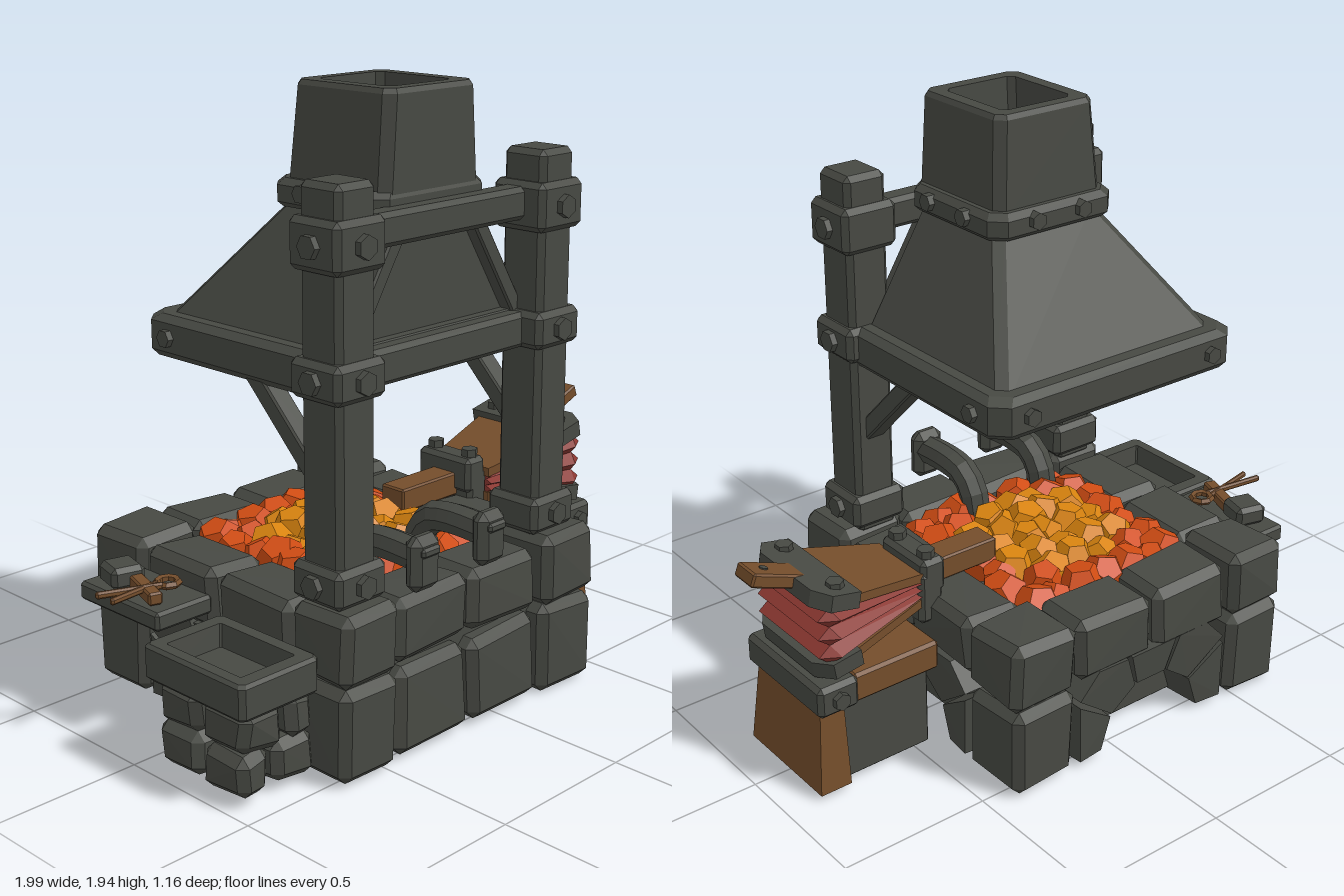
import * as THREE from 'three';
import { ConvexGeometry } from 'three/addons/geometries/ConvexGeometry.js';

const material = (name, color) => Object.assign(new THREE.MeshStandardMaterial({ color }), { name });
const V = (x, y, z) => new THREE.Vector3(x, y, z);

export function createModel() {
  const model = new THREE.Group();
  model.name = 'forge';
  const stone = material('dark stone and iron', 0x474943);
  const wood = material('brown wood', 0x744d2b);
  const leather = material('red leather', 0x8a3731);
  const amber = material('amber coal', 0xd8830f);
  const ember = material('red ember', 0xd04c13);

  let seed = 7;
  const rnd = () => (seed = (seed * 16807) % 2147483647) / 2147483647;

  const add = (name, geo, mat) => {
    const m = new THREE.Mesh(geo, mat);
    m.name = name;
    model.add(m);
    return m;
  };
  const flat = (geo) => {
    const g = geo.index ? geo.toNonIndexed() : geo;
    g.computeVertexNormals();
    return g;
  };
  const hull = (name, mat, pts) => add(name, new ConvexGeometry(pts.map((p) => V(...p))), mat);

  // Chamfered box geometry about the origin; jitter makes rough stones
  const chamfered = (w, h, d, c, jit = 0) => {
    const pts = [];
    for (const sx of [-1, 1]) for (const sy of [-1, 1]) for (const sz of [-1, 1]) {
      const j = [0, 1, 2].map(() => rnd() * jit);
      for (let k = 0; k < 3; k++) {
        pts.push(V(
          sx * (w / 2 - j[0] - (k === 0 ? 0 : c)),
          sy * (h / 2 - j[1] - (k === 1 ? 0 : c)),
          sz * (d / 2 - j[2] - (k === 2 ? 0 : c))));
      }
    }
    return new ConvexGeometry(pts);
  };
  const box = (name, mat, x0, x1, y0, y1, z0, z1, c = 0.015, jit = 0) => {
    const m = add(name, chamfered(x1 - x0, y1 - y0, z1 - z0, c, jit), mat);
    m.position.set((x0 + x1) / 2, (y0 + y1) / 2, (z0 + z1) / 2);
    return m;
  };
  const rock = (name, ...b) => box(name, stone, ...b, 0.028, 0.014);
  // Straight beam between two points
  const beam = (name, mat, a, b, w, d) => {
    const p = V(...a), q = V(...b);
    const m = add(name, chamfered(w, d, p.distanceTo(q), 0.006), mat);
    m.position.copy(p).add(q).multiplyScalar(0.5);
    m.lookAt(q);
    return m;
  };
  const bolt = (x, y, z, axis, r = 0.033) => {
    const m = add('bolt', flat(new THREE.CylinderGeometry(r * 0.85, r * 0.85, 0.04, 6)), stone);
    m.position.set(x, y, z);
    if (axis === 'x') m.rotation.z = Math.PI / 2;
    if (axis === 'z') m.rotation.x = Math.PI / 2;
  };
  // Closed hollow shell lofted through chamfered rectangles [y, x0, x1, z0, z1, chamfer]
  const shell = (name, rings) => {
    const loops = rings.map(([y, x0, x1, z0, z1, c]) => [
      [x1, y, z1 - c], [x1, y, z0 + c], [x1 - c, y, z0], [x0 + c, y, z0],
      [x0, y, z0 + c], [x0, y, z1 - c], [x0 + c, y, z1], [x1 - c, y, z1]]);
    const pos = [];
    loops.forEach((lo, r) => {
      const hi = loops[(r + 1) % loops.length];
      for (let i = 0; i < 8; i++) {
        const j = (i + 1) % 8;
        pos.push(...lo[i], ...lo[j], ...hi[j], ...lo[i], ...hi[j], ...hi[i]);
      }
    });
    const g = new THREE.BufferGeometry();
    g.setAttribute('position', new THREE.Float32BufferAttribute(pos, 3));
    g.computeVertexNormals();
    return add(name, g, stone);
  };

  // Hearth: core, corner stones, front wall and rim
  box('hearthCore', stone, -0.58, 0.31, 0.015, 0.42, -0.43, 0.5);
  const cols = [-0.7, -0.46, -0.145, 0.175, 0.435];
  for (const [y0, y1] of [[0, 0.31], [0.3, 0.535]]) {
    for (let i = 0; i < 4; i++) {
      const mid = i === 1 || i === 2, s = mid ? 0.015 : 0;
      rock('frontStone', cols[i], cols[i + 1], y0 + s / 2, y1 - s, 0.33, 0.58 - s);
      if (!mid) rock('backCornerStone', cols[i], cols[i + 1], y0, y1, -0.58, -0.32);
      else if (y0 > 0) rock('backRimStone', cols[i], cols[i + 1], y0, y1 - s, -0.565, -0.33);
    }
  }
  for (const [z0, z1] of [[-0.33, 0.0], [0.0, 0.34]]) {
    rock('leftRimStone', 0.185, 0.42, 0.31, 0.515, z0, z1);
    rock('rightRimStone', -0.685, -0.45, 0.31, 0.515, z0, z1);
  }
  // Arches of wedge stones on the back and both sides
  const arch = (place) => {
    const n = 5;
    for (let i = 0; i < n; i++) {
      const pts = [];
      for (const a of [i + 0.04, i + 0.5, i + 0.96].map((t) => (t / n) * Math.PI)) {
        const c = Math.cos(a), s = Math.sin(a);
        const out = Math.min(0.32 / Math.max(Math.abs(c), 0.001), 0.33 / Math.max(s, 0.001));
        for (const [r, depth] of [[0.19, 0.2], [0.205, 0.012], [out - 0.02, 0], [out, 0.2]]) {
          pts.push(place(c * r, 0.015 + s * r, depth));
        }
      }
      hull('archStone', stone, pts);
    }
  };
  arch((u, v, d) => [-0.14 + u, v, -0.56 + d]);
  arch((u, v, d) => [0.415 - d, v, u]);
  arch((u, v, d) => [-0.685 + d, v, u]);

  // Coal bed, amber in the middle and red at the rim
  for (let i = 0; i < 7; i++) for (let j = 0; j < 7; j++) {
    const x = -0.42 + i * 0.094 + (rnd() - 0.5) * 0.05;
    const z = -0.3 + j * 0.098 + (rnd() - 0.5) * 0.05;
    const e = Math.hypot((x + 0.14) / 0.29, z / 0.31);
    const m = add('coal', new THREE.DodecahedronGeometry(0.062 + rnd() * 0.022), e < 0.85 ? amber : ember);
    m.position.set(x, 0.5 - 0.04 * e + rnd() * 0.015, z);
    m.rotation.set(rnd() * 3, rnd() * 3, rnd() * 3);
  }

  // Air pipes bending over the front wall into the coals
  for (const x of [-0.35, -0.06]) {
    const path = new THREE.CatmullRomCurve3([
      V(x, 0.62, 0.55), V(x, 0.625, 0.4), V(x, 0.61, 0.32), V(x, 0.55, 0.27), V(x, 0.42, 0.26)]);
    add('airPipe', flat(new THREE.TubeGeometry(path, 10, 0.05, 8)), stone);
    box('pipeCollar', stone, x - 0.058, x + 0.058, 0.52, 0.69, 0.51, 0.575, 0.025);
    box('pipeSlot', stone, x - 0.038, x + 0.038, 0.63, 0.66, 0.565, 0.585, 0.008);
  }

  // Posts with bolted collars and braces
  for (const [x, s] of [[-0.57, -1], [0.28, 1]]) {
    box('post', stone, x - 0.075, x + 0.075, 0.5, 1.73, 0.345, 0.505, 0.018);
    for (const [y0, y1, w] of [[0.53, 0.645, 0.1], [1.125, 1.24, 0.1], [1.485, 1.635, 0.1]]) {
      box('postCollar', stone, x - w, x + w, y0, y1, 0.425 - w, 0.425 + w, 0.018);
      const y = (y0 + y1) / 2;
      bolt(x, y, 0.525, 'z', 0.042);
      bolt(x + s * 0.1, y, 0.425, 'x', 0.042);
    }
    beam('hoodBrace', stone, [x, 0.86, 0.37], [x, 1.15, 0.08], 0.07, 0.06);
    beam('frontDiagonal', stone, [x - s * 0.06, 1.22, 0.39], [-0.145 + s * 0.13, 1.6, 0.39], 0.05, 0.05);
  }
  box('lowerBeam', stone, -0.55, 0.26, 1.125, 1.235, 0.36, 0.455);
  box('upperBeam', stone, -0.55, 0.26, 1.52, 1.62, 0.37, 0.455);

  // Hood, open beneath, with hem, collar and chimney
  shell('hoodHem', [
    [1.11, -0.6, 0.33, -0.37, 0.4, 0.05], [1.13, -0.615, 0.345, -0.385, 0.41, 0.05],
    [1.22, -0.615, 0.345, -0.385, 0.41, 0.05], [1.24, -0.59, 0.32, -0.36, 0.4, 0.05],
    [1.24, -0.53, 0.26, -0.3, 0.34, 0.03], [1.11, -0.55, 0.28, -0.32, 0.35, 0.03]]);
  shell('hood', [
    [1.22, -0.565, 0.295, -0.335, 0.37, 0.03], [1.6, -0.335, 0.06, -0.02, 0.37, 0.03],
    [1.6, -0.285, 0.01, 0.03, 0.33, 0.02], [1.22, -0.53, 0.26, -0.3, 0.34, 0.02]]);
  shell('chimneyCollar', [
    [1.575, -0.365, 0.085, -0.05, 0.385, 0.04], [1.59, -0.38, 0.1, -0.065, 0.395, 0.045],
    [1.64, -0.38, 0.1, -0.065, 0.395, 0.045], [1.66, -0.36, 0.08, -0.045, 0.385, 0.04],
    [1.66, -0.285, 0.01, 0.03, 0.33, 0.02], [1.575, -0.285, 0.01, 0.03, 0.33, 0.02]]);
  shell('chimney', [
    [1.64, -0.35, 0.065, -0.03, 0.39, 0.03], [1.93, -0.33, 0.045, -0.01, 0.39, 0.03],
    [1.945, -0.32, 0.035, 0, 0.38, 0.025], [1.945, -0.275, -0.01, 0.04, 0.335, 0.02],
    [1.64, -0.285, 0.005, 0.035, 0.33, 0.02]]);
  for (const t of [0.09, 0.27]) {
    bolt(0.1, 1.625, t, 'x');
    bolt(-0.38, 1.625, t, 'x');
    bolt(-0.32 + t, 1.625, -0.065, 'z');
  }
  for (const s of [-1, 1]) {
    bolt(-0.135 + s * 0.48, 1.175, -0.26, 'x');
    bolt(-0.135 + s * 0.36, 1.175, -0.385, 'z');
  }

  // Bellows: nozzle, mounting plate, pleats, boards, caps and handle
  beam('nozzle', wood, [0.1, 0.545, -0.01], [0.4, 0.545, -0.01], 0.1, 0.08);
  box('nozzlePlate', stone, 0.36, 0.45, 0.42, 0.6, -0.13, 0.1);
  box('nozzleClamp', stone, 0.35, 0.44, 0.52, 0.64, -0.13, 0.1);
  for (const z of [-0.09, 0.06]) bolt(0.4, 0.645, z, 'y');
  for (let i = 0; i < 3; i++) {
    const y0 = 0.455 + i * 0.063, y1 = y0 + 0.063, ym = (y0 + y1) / 2, n0 = 0.51 + i * 0.023;
    const pts = [];
    for (const s of [-1, 1]) {
      pts.push([0.44, n0, s * 0.1], [0.44, n0 + 0.023, s * 0.1], [0.44, n0 + 0.012, s * 0.125],
        [0.81, y0, s * 0.17], [0.81, y1, s * 0.17], [0.85, ym, s * 0.17], [0.79, ym, s * 0.205]);
    }
    hull('bellowsPleat', leather, pts);
  }
  const board = (name, mat, x0, ya, w0, x1, yb, w1, t) => hull(name, mat, [-1, 1].flatMap((s) => [
    [x0, ya, s * w0], [x0, ya + t, s * w0], [x1, yb, s * w1], [x1, yb + t, s * w1]]));
  board('topBoard', wood, 0.43, 0.57, 0.12, 0.8, 0.645, 0.19, 0.03);
  board('bottomBoard', wood, 0.43, 0.485, 0.12, 0.8, 0.428, 0.19, 0.03);
  for (const [y, tilt] of [[0.668, 0.2], [0.445, -0.15]]) {
    const cap = hull('bellowsCap', stone, [-1, 1].flatMap((s) => [-0.027, 0.027].flatMap((t) => [
      [-0.07, t, s * 0.2], [0.03, t, s * 0.2], [0.07, t, s * 0.14]])));
    cap.position.set(0.785, y, 0);
    cap.rotation.z = tilt;
  }
  for (const z of [-0.14, 0.14]) bolt(0.765, 0.69, z, 'y');
  beam('bellowsHandle', wood, [0.78, 0.665, 0], [0.985, 0.745, 0], 0.1, 0.045);
  const hole = add('handleHole', flat(new THREE.CylinderGeometry(0.014, 0.014, 0.006, 8)), stone);
  hole.position.set(0.92, 0.745, 0);
  hole.rotation.z = 0.37;

  // Bellows stand
  box('standBox', stone, 0.46, 0.79, 0.02, 0.31, -0.17, 0.17, 0.006);
  box('standTop', wood, 0.435, 0.75, 0.3, 0.4, -0.2, 0.2, 0.01);
  box('standCap', stone, 0.735, 0.88, 0.295, 0.4, -0.21, 0.21);
  for (const s of [-1, 1]) bolt(0.81, 0.347, s * 0.21, 'z');
  hull('standLeg', wood, [[0.02, 0.2, 0.885], [0.3, 0.175, 0.86]].flatMap(([y, w, x]) => [
    [0.775, y, w], [0.775, y, -w], [x, y, w], [x, y, -w]]));

  // Water trough on rough stones
  for (const [y0, y1, split] of [[0.02, 0.17, -0.85], [0.15, 0.3, -0.8]]) {
    for (const [z0, z1] of [[0.07, 0.26], [0.26, 0.455]]) {
      rock('troughStone', -0.975, split, y0, y1, z0, z1);
      rock('troughStone', split, -0.68, y0, y1, z0, z1);
    }
  }
  shell('trough', [
    [0.285, -0.975, -0.695, 0.06, 0.46, 0.015], [0.3, -0.99, -0.695, 0.045, 0.475, 0.015],
    [0.39, -0.99, -0.695, 0.045, 0.475, 0.015], [0.4, -0.98, -0.7, 0.055, 0.465, 0.015],
    [0.4, -0.945, -0.74, 0.1, 0.42, 0.005], [0.325, -0.935, -0.75, 0.11, 0.41, 0.005]]);
  box('troughFloor', stone, -0.95, -0.73, 0.285, 0.33, 0.09, 0.43);

  // Tool shelf with hammer and tongs
  box('toolShelf', stone, -0.885, -0.67, 0.375, 0.435, -0.39, -0.015, 0.01);
  const head = box('hammerHead', stone, -0.86, -0.75, 0.435, 0.505, -0.335, -0.22, 0.015);
  head.rotation.y = -0.25;
  beam('hammerHandle', wood, [-0.79, 0.46, -0.24], [-0.85, 0.46, -0.06], 0.045, 0.04);
  beam('tongArm', wood, [-0.995, 0.485, -0.16], [-0.78, 0.47, -0.11], 0.018, 0.022);
  beam('tongArm', wood, [-0.985, 0.48, -0.1], [-0.78, 0.47, -0.135], 0.018, 0.022);
  const ring = add('tongJaw', flat(new THREE.TorusGeometry(0.034, 0.012, 5, 8)), wood);
  ring.position.set(-0.755, 0.47, -0.122);
  ring.rotation.x = Math.PI / 2;

  return model;
}
